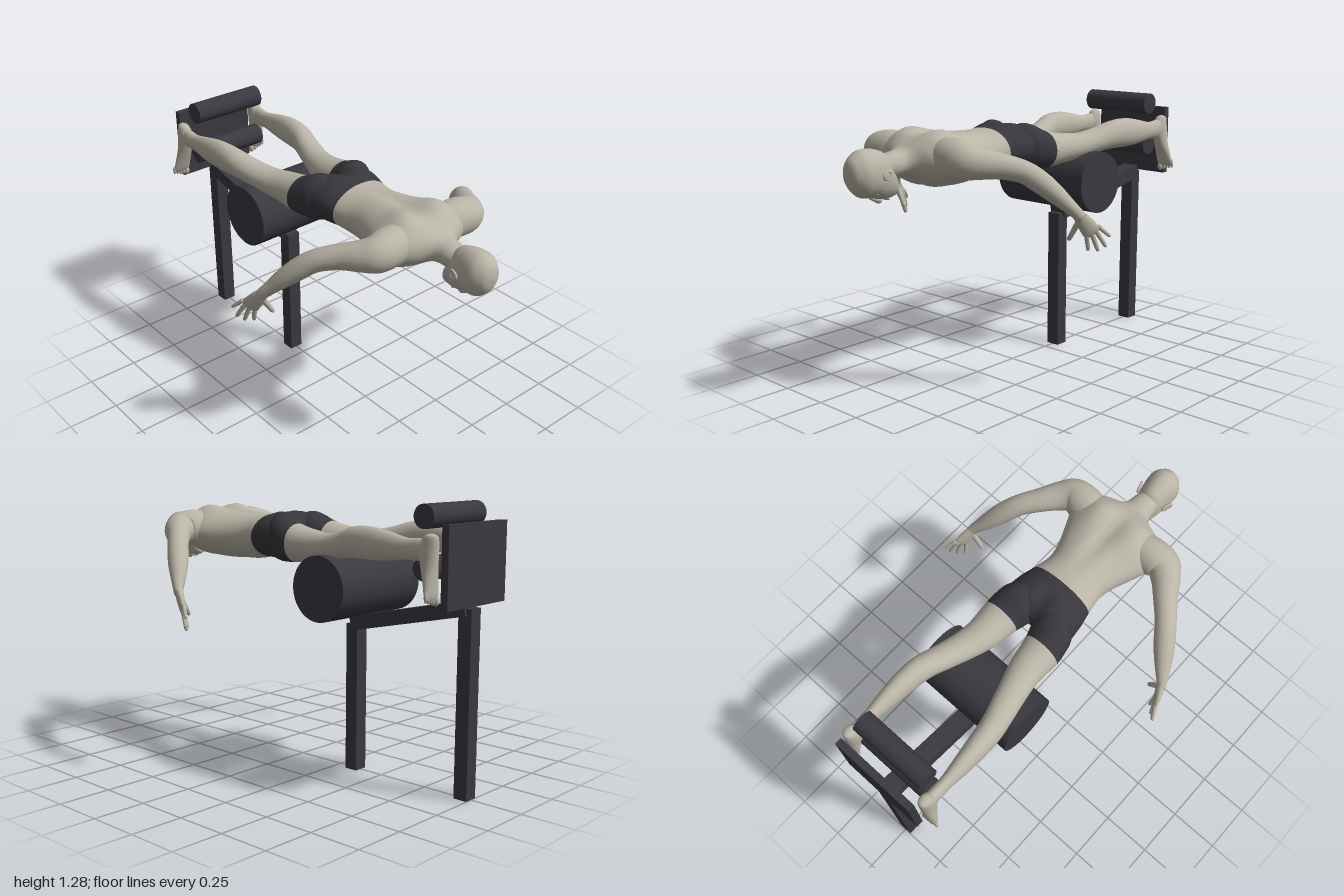
import * as THREE from 'three';

const skin = new THREE.MeshStandardMaterial({ color: 0xb9b4a6 });
skin.name = 'skin';
const cloth = new THREE.MeshStandardMaterial({ color: 0x38373d });
cloth.name = 'shorts cloth';
const dark = new THREE.MeshStandardMaterial({ color: 0x3a3940 });
dark.name = 'dark padding and frame';

// Smooth skin over elliptical cross-sections [x, y, z, halfU, halfV].
// ref is the U direction; axis fixes the ring plane; bend adjusts each point; clothAt picks the shorts.
function loft(rows, { ref = [1, 0, 0], axis, bend, clothAt, steps = 5, sides = 24 } = {}) {
  const path = new THREE.CatmullRomCurve3(rows.map(r => new THREE.Vector3(r[0], r[1], r[2])), false, 'catmullrom');
  const size = new THREE.CatmullRomCurve3(rows.map(r => new THREE.Vector3(r[3], r[4], 0)), false, 'catmullrom');
  const n = (rows.length - 1) * steps;
  const pos = [], lists = [[], []], centres = [];
  for (let i = 0; i <= n; i++) {
    const c = path.getPoint(i / n), s = size.getPoint(i / n);
    const t = axis ? new THREE.Vector3(...axis) : path.getTangent(i / n);
    const u = new THREE.Vector3(...ref);
    u.addScaledVector(t, -u.dot(t)).normalize();
    const v = t.clone().cross(u);
    centres.push(c);
    for (let j = 0; j < sides; j++) {
      const a = j / sides * Math.PI * 2;
      const p = c.clone()
        .addScaledVector(u, Math.max(s.x, 0.001) * Math.cos(a))
        .addScaledVector(v, Math.max(s.y, 0.001) * Math.sin(a));
      if (bend) bend(p, c);
      pos.push(p.x, p.y, p.z);
    }
  }
  for (let i = 0; i < n; i++) {
    const list = lists[clothAt && clothAt((centres[i].z + centres[i + 1].z) / 2) ? 1 : 0];
    for (let j = 0; j < sides; j++) {
      const k = (j + 1) % sides, a = i * sides, b = a + sides;
      list.push(a + j, a + k, b + k, a + j, b + k, b + j);
    }
  }
  // End caps
  [0, n].forEach(i => {
    const hub = pos.length / 3, c = centres[i];
    pos.push(c.x, c.y, c.z);
    const list = lists[clothAt && clothAt(c.z) ? 1 : 0];
    for (let j = 0; j < sides; j++) {
      const a = i * sides + j, b = i * sides + (j + 1) % sides;
      if (i === 0) list.push(hub, b, a); else list.push(hub, a, b);
    }
  });
  const g = new THREE.BufferGeometry();
  g.setAttribute('position', new THREE.Float32BufferAttribute(pos, 3));
  g.setIndex([...lists[0], ...lists[1]]);
  g.addGroup(0, lists[0].length, 0);
  if (lists[1].length) g.addGroup(lists[0].length, lists[1].length, 1);
  g.computeVertexNormals();
  return g;
}

function add(parent, name, geometry, material, position = [0, 0, 0]) {
  const m = new THREE.Mesh(geometry, material);
  m.name = name;
  m.position.set(...position);
  parent.add(m);
  return m;
}

const bump = (x, c, w) => Math.exp(-(((x - c) / w) ** 2));
const inShorts = z => z < 0.19 && z > -0.08;

function buildBench() {
  const g = new THREE.Group();
  g.name = 'bench';
  const box = (name, w, h, d, p) => add(g, name, new THREE.BoxGeometry(w, h, d), dark, p);
  const roller = (name, r, len, p) =>
    add(g, name, new THREE.CylinderGeometry(r, r, len, 48).rotateZ(Math.PI / 2), dark, p);
  roller('hipRoller', 0.15, 0.54, [0, 0.885, -0.343]);
  roller('upperAnkleRoller', 0.052, 0.38, [0, 1.227, -0.857]);
  roller('lowerAnkleRoller', 0.052, 0.38, [0, 1.012, -0.857]);
  box('frontPost', 0.068, 0.7, 0.065, [0, 0.35, -0.343]);
  box('rearPost', 0.068, 0.84, 0.066, [0, 0.42, -0.965]);
  box('footPlate', 0.424, 0.35, 0.034, [0, 1.025, -0.983]);
  box('slopingBeam', 0.09, 0.066, 0.64, [0, 0.772, -0.655]).rotation.x = Math.atan2(0.137, 0.62);
  return g;
}

function buildTorsoAndHead(g) {
  // Torso with spine furrow, shoulder blades and chest line
  add(g, 'torso', loft([
    [0, 1.08, -0.012, 0.05, 0.05], [0, 1.085, 0.03, 0.175, 0.107], [0, 1.086, 0.1, 0.183, 0.119],
    [0, 1.077, 0.19, 0.165, 0.106], [0, 1.069, 0.28, 0.15, 0.112], [0, 1.071, 0.36, 0.165, 0.117],
    [0, 1.073, 0.44, 0.197, 0.122], [0, 1.08, 0.52, 0.23, 0.125], [0, 1.084, 0.58, 0.238, 0.124],
    [0, 1.09, 0.63, 0.222, 0.107], [0, 1.09, 0.67, 0.165, 0.08], [0, 1.085, 0.7, 0.098, 0.063],
    [0, 1.08, 0.73, 0.068, 0.058], [0, 1.075, 0.78, 0.06, 0.056], [0, 1.07, 0.83, 0.05, 0.05],
  ], {
    axis: [0, 0, 1], sides: 48, clothAt: inShorts,
    bend: (p, c) => {
      const up = p.y - c.y;
      if (up > 0) {
        p.y -= 0.2 * up * bump(p.x, 0, 0.035) * (bump(p.z, 0.5, 0.17) + 1.5 * bump(p.z, 0.03, 0.08));
        p.y += 0.17 * up * (bump(Math.abs(p.x), 0.11, 0.05) * bump(p.z, 0.56, 0.08));
      } else {
        p.y -= 0.12 * up * bump(p.x, 0, 0.025) * bump(p.z, 0.53, 0.09);
      }
    },
  }), [skin, cloth]);

  // Head looking down, crown forwards
  add(g, 'head', loft([
    [0, 0.972, 0.743, 0.02, 0.018], [0, 0.99, 0.757, 0.042, 0.046], [0, 1.03, 0.8, 0.06, 0.095],
    [0, 1.046, 0.85, 0.071, 0.106], [0, 1.055, 0.9, 0.079, 0.105], [0, 1.057, 0.94, 0.077, 0.098],
    [0, 1.06, 0.975, 0.055, 0.07], [0, 1.062, 0.99, 0.035, 0.044], [0, 1.063, 0.998, 0.004, 0.004],
  ], {
    axis: [0, 0, 1], sides: 36,
    // Eye sockets
    bend: (p, c) => {
      if (p.y < c.y) p.y += 0.014 * bump(Math.abs(p.x), 0.032, 0.016) * bump(p.z, 0.873, 0.016);
    },
  }), skin);
  add(g, 'nose', loft([
    [0, 0.95, 0.885, 0.006, 0.006], [0, 0.942, 0.86, 0.01, 0.012],
    [0, 0.934, 0.835, 0.015, 0.015], [0, 0.942, 0.822, 0.012, 0.01],
  ], { axis: [0, 0, -1], sides: 14 }), skin);
  add(g, 'lips', new THREE.SphereGeometry(1, 18, 12).scale(0.024, 0.008, 0.011), skin, [0, 0.937, 0.795]);
  for (const s of [-1, 1]) {
    add(g, 'eye', new THREE.SphereGeometry(0.012, 14, 10), skin, [s * 0.031, 0.972, 0.873]);
    const ear = new THREE.Group();
    ear.name = 'ear';
    add(ear, 'earRim', new THREE.TorusGeometry(0.02, 0.006, 10, 24).scale(1.25, 0.85, 1), skin);
    add(ear, 'earBowl', new THREE.SphereGeometry(1, 16, 10).scale(0.022, 0.015, 0.005), skin);
    ear.position.set(s * 0.082, 1.05, 0.852);
    ear.rotation.y = Math.PI / 2 + s * 0.3;
    g.add(ear);
  }
}

function buildLimbs(g, s) {
  const side = s > 0 ? 'left' : 'right';
  const m = rows => rows.map(([x, ...rest]) => [s * x, ...rest]);
  add(g, side + 'Leg', loft(m([
    [0.09, 1.085, 0.1, 0.06, 0.09], [0.1, 1.085, 0.04, 0.093, 0.112], [0.107, 1.078, -0.01, 0.1, 0.109],
    [0.121, 1.064, -0.08, 0.093, 0.09], [0.129, 1.058, -0.2, 0.079, 0.073], [0.152, 1.061, -0.3, 0.07, 0.063],
    [0.18, 1.079, -0.4, 0.064, 0.061], [0.207, 1.1, -0.5, 0.058, 0.069], [0.217, 1.103, -0.6, 0.052, 0.072],
    [0.221, 1.098, -0.7, 0.042, 0.062], [0.222, 1.094, -0.8, 0.03, 0.045], [0.222, 1.095, -0.86, 0.03, 0.047],
    [0.221, 1.1, -0.92, 0.028, 0.045],
  ]), { axis: [0, 0, -1], sides: 32, clothAt: inShorts }), [skin, cloth]);

  // Foot hanging toes-down against the plate
  add(g, side + 'Foot', loft(m([
    [0.221, 1.162, -0.92, 0.01, 0.014], [0.221, 1.148, -0.918, 0.026, 0.033], [0.221, 1.1, -0.908, 0.034, 0.046],
    [0.226, 1.03, -0.916, 0.035, 0.038], [0.234, 0.96, -0.93, 0.042, 0.025],
    [0.24, 0.915, -0.939, 0.045, 0.016], [0.242, 0.898, -0.942, 0.04, 0.009],
  ]), { axis: [0, -1, 0] }), skin);
  for (let i = 0; i < 5; i++) {
    const r = i ? 0.0095 - i * 0.0005 : 0.014;
    add(g, side + 'Toe', new THREE.SphereGeometry(1, 12, 10).scale(r, 0.022, r),
      skin, [s * (0.21 + i * 0.017 + (i ? 0.005 : 0)), 0.889 + i * 0.005, -0.943]);
  }

  // Arm from inside the shoulder to the wrist
  add(g, side + 'Arm', loft(m([
    [0.12, 1.1, 0.58, 0.085, 0.08], [0.2, 1.103, 0.587, 0.09, 0.086], [0.265, 1.098, 0.588, 0.083, 0.08],
    [0.315, 1.09, 0.55, 0.069, 0.068], [0.375, 1.077, 0.478, 0.056, 0.056], [0.44, 1.05, 0.405, 0.05, 0.05],
    [0.485, 1.005, 0.352, 0.049, 0.05], [0.525, 0.955, 0.305, 0.043, 0.045], [0.565, 0.9, 0.258, 0.032, 0.033],
    [0.59, 0.865, 0.23, 0.027, 0.024], [0.6, 0.845, 0.215, 0.026, 0.02],
  ]), { ref: [0, 1, 0] }), skin);

  // Open hand
  const ref = [s * 0.52, 0.52, -0.69];
  add(g, side + 'Palm', loft(m([
    [0.586, 0.872, 0.235, 0.022, 0.02], [0.602, 0.83, 0.203, 0.034, 0.019],
    [0.616, 0.785, 0.17, 0.04, 0.015], [0.621, 0.768, 0.159, 0.034, 0.008],
  ]), { ref }), skin);
  const fingers = {
    IndexFinger: [[0.605, 0.78, 0.186], [0.597, 0.69, 0.16], 0.0105],
    MiddleFinger: [[0.616, 0.782, 0.168], [0.629, 0.687, 0.13], 0.0105],
    RingFinger: [[0.626, 0.79, 0.152], [0.654, 0.706, 0.106], 0.01],
    LittleFinger: [[0.634, 0.802, 0.14], [0.664, 0.752, 0.09], 0.009],
    Thumb: [[0.592, 0.835, 0.218], [0.533, 0.737, 0.222], 0.0125],
  };
  for (const [name, [a, b, r]] of Object.entries(fingers)) {
    const at = (t, k) => [...a.map((v, i) => v + (b[i] - v) * t), r * k, r * k];
    add(g, side + name, loft(m([at(0, 1.15), at(0.35, 1.05), at(0.7, 0.95), at(0.93, 0.75), at(1, 0.15)]),
      { ref, steps: 3, sides: 12 }), skin);
  }
}

export function createModel() {
  const model = new THREE.Group();
  model.name = 'backExtensionExercise';
  model.add(buildBench());
  const figure = new THREE.Group();
  figure.name = 'figure';
  buildTorsoAndHead(figure);
  for (const s of [-1, 1]) buildLimbs(figure, s);
  model.add(figure);
  return model;
}
